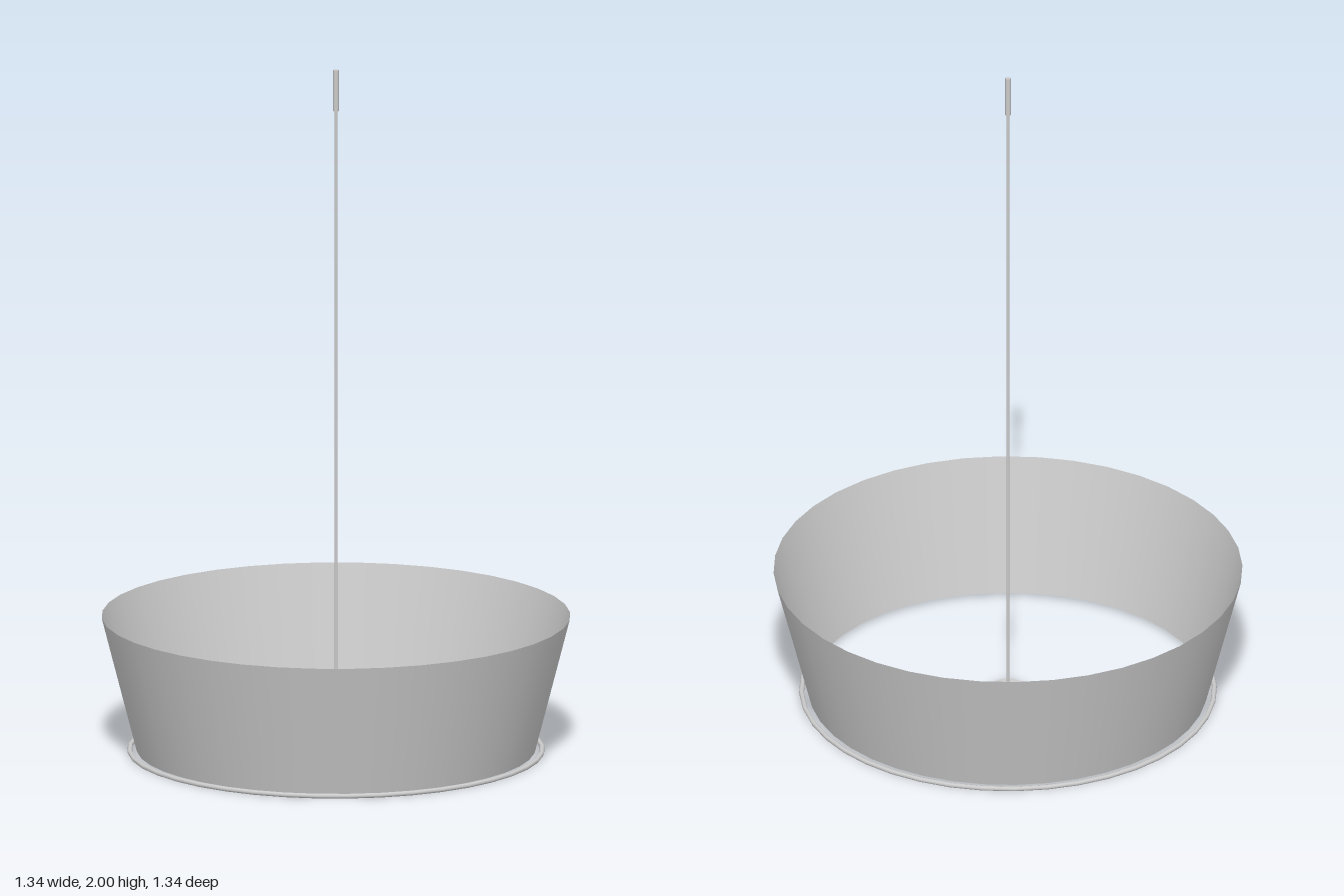
import * as THREE from 'three';

const SEGMENTS = 40;

export function createModel() {
  const model = new THREE.Group();
  model.name = 'pendantLamp';
  const solid = new THREE.MeshStandardMaterial({ color: 0xcccccc });
  const thin = new THREE.MeshStandardMaterial({ color: 0xcccccc, side: THREE.DoubleSide });

  function add(name, geometry, y, material = solid) {
    const mesh = new THREE.Mesh(geometry, material);
    mesh.name = name;
    mesh.position.y = y;
    model.add(mesh);
    return mesh;
  }

  // Upright cylinder given by its bottom and top heights
  function rod(name, radius, bottom, top, sides = 12) {
    return add(name, new THREE.CylinderGeometry(radius, radius, top - bottom, sides), (bottom + top) / 2);
  }

  // Thin flaring shade, open above and below
  add('shade', new THREE.CylinderGeometry(0.67, 0.57, 0.39, SEGMENTS, 1, true), 0.205, thin);

  // Slim hoop just outside the lower edge of the shade
  const hoop = new THREE.TorusGeometry(0.59, 0.007, 8, SEGMENTS);
  hoop.rotateX(Math.PI / 2);
  add('lowerHoop', hoop, 0.008);

  // Suspension cord with a sleeve at the ceiling end
  rod('cord', 0.004, 0.01, 1.9);
  rod('ceilingSleeve', 0.008, 1.88, 2);

  // Small flat holder at the foot of the cord, with bevelled edge and collar
  add('holderDisc', new THREE.CylinderGeometry(0.048, 0.058, 0.014, 32), 0.011);
  rod('holderCollar', 0.025, 0.016, 0.024, 24);

  return model;
}
